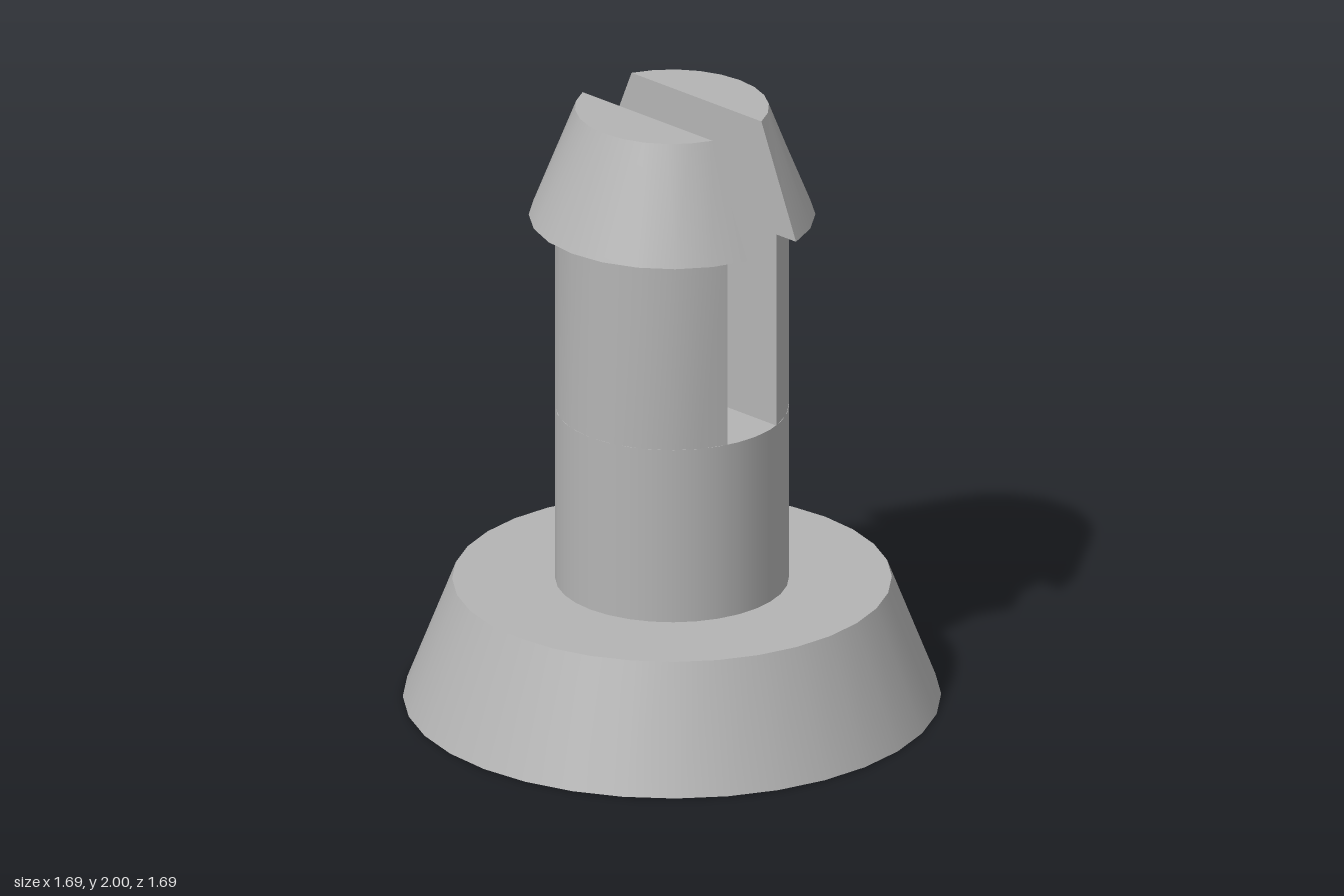
import * as THREE from 'three';

const SLOT = 0.11;       // half width of the slot
const SHAFT_R = 0.367;
const SEGMENTS = 10;     // steps along a prong's arc

// Points along the round side of a prong at one radius and height
function arc(r, y) {
  const half = Math.acos(SLOT / r);
  return Array.from({ length: SEGMENTS + 1 }, (_, i) => {
    const a = half * (2 * i / SEGMENTS - 1);
    return [r * Math.cos(a), y, r * Math.sin(a)];
  });
}

// The same points flattened onto the slot wall
const chord = (r, y) => arc(r, y).map(([, py, z]) => [SLOT, py, z]);

// Skin each pair of rows with its own vertices, so edges between bands stay sharp
function skin(bands) {
  const positions = [], index = [];
  for (const [low, high] of bands) {
    const start = positions.length / 3, n = low.length;
    positions.push(...low.flat(), ...high.flat());
    for (let i = 0; i < n - 1; i++) {
      const a = start + i, b = a + n;
      index.push(a, b, a + 1, b, b + 1, a + 1);
    }
  }
  const geometry = new THREE.BufferGeometry();
  geometry.setAttribute('position', new THREE.Float32BufferAttribute(positions, 3));
  geometry.setIndex(index);
  geometry.computeVertexNormals();
  return geometry;
}

export function createModel() {
  const model = new THREE.Group();
  model.name = 'snapFastener';
  const grey = new THREE.MeshStandardMaterial({ color: 0xb4b4b4 });
  grey.name = 'grey plastic';

  const add = (name, geometry, y = 0) => {
    const mesh = new THREE.Mesh(geometry, grey);
    mesh.name = name;
    mesh.position.y = y;
    model.add(mesh);
    return mesh;
  };

  // Tapered foot and the solid lower shaft
  add('base', new THREE.CylinderGeometry(0.69, 0.845, 0.4, 32), 0.2);
  add('shaft', new THREE.CylinderGeometry(SHAFT_R, SHAFT_R, 0.585, 32), 0.6925);

  // Two barbed prongs on either side of the slot
  const floor = 0.985, barb = 1.635, top = 2;
  const prong = skin([
    [arc(SHAFT_R, floor), arc(SHAFT_R, barb)],      // stem
    [arc(SHAFT_R, barb), arc(0.45, barb)],          // underside of barb
    [arc(0.45, barb), arc(0.305, top)],             // tapered barb
    [arc(0.305, top), chord(0.305, top)],           // top face
    [chord(0.305, top), chord(0.45, barb)],         // slot wall, barb
    [chord(SHAFT_R, barb), chord(SHAFT_R, floor)],  // slot wall, stem
  ]);
  add('leftProng', prong);
  add('rightProng', prong).rotation.y = Math.PI;

  return model;
}
